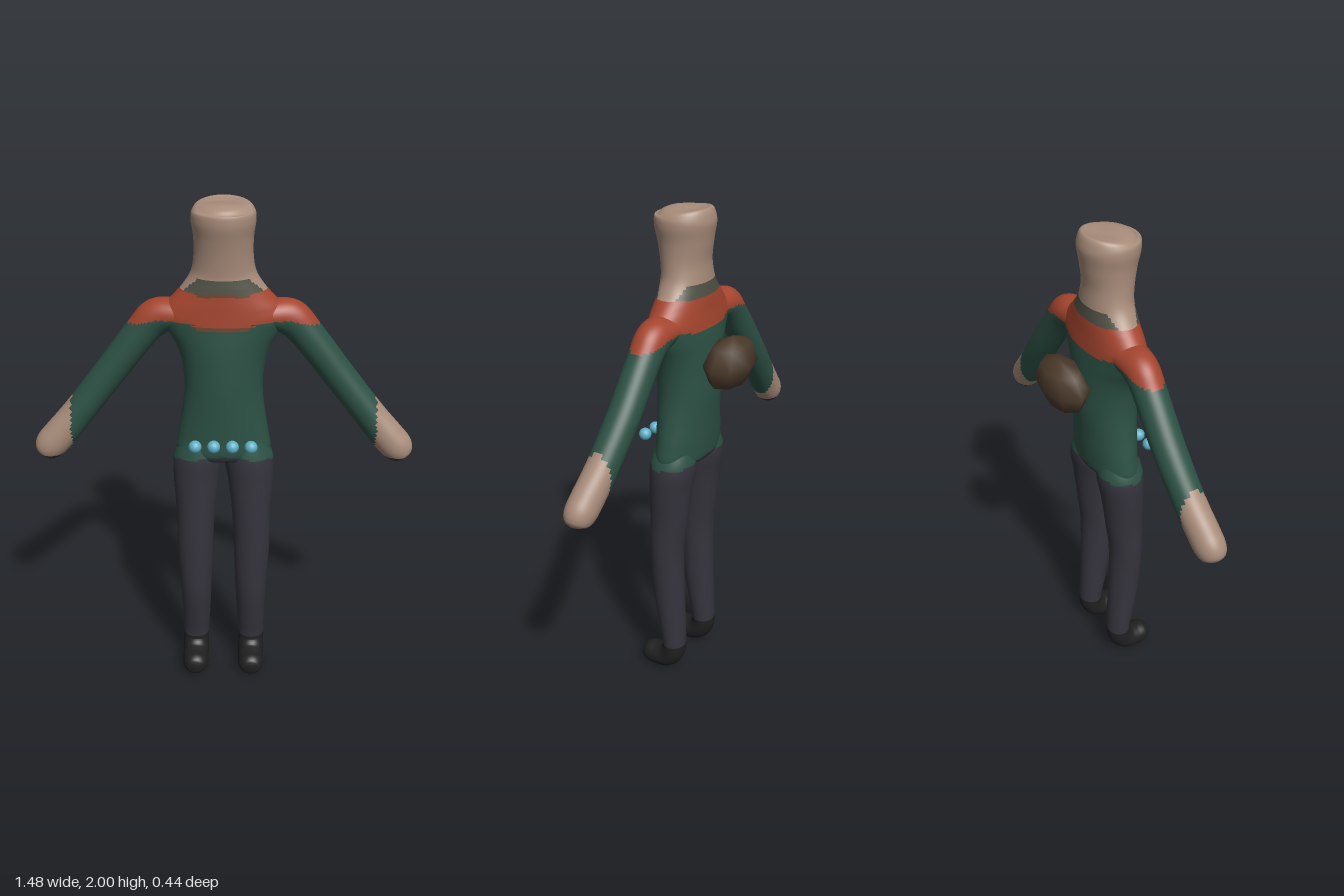
import * as THREE from 'three';

const mat = (name, color) => {
  const m = new THREE.MeshStandardMaterial({ color });
  m.name = name;
  return m;
};
const SKIN = 0, RED = 1, GREEN = 2, TROUSER = 3, SHOE = 4, COLLAR = 5, TRIM = 6;
const bodyMats = [
  mat('skin', 0xa88c7a), mat('rust red', 0xa5452e), mat('dark green', 0x2d5245),
  mat('charcoal trousers', 0x35343d), mat('black shoes', 0x202020),
  mat('grey green collar', 0x505245), mat('brown trim', 0x6a4630),
];
const packMat = mat('dark brown', 0x4b3a2b);
const beadMat = mat('light blue', 0x5fb0c8);

// Which clothing colour covers a point of the body
function paint(x, y, z) {
  const w = Math.abs(x);
  if (y < 0.14) return SHOE;
  if (w > 0.588 && y > 1.015) return SKIN;
  if (y < 1.035 - w * 0.15 || (w > 0.588 && y <= 1.015)) return TROUSER;
  const front = z > 0.08;
  const redBottom = w < 0.11 ? 1.565 : 1.575 - Math.max(0, w - 0.25) * 0.25;
  if (y < redBottom) return front && w < 0.1 && y > 1.55 ? TRIM : GREEN;
  if (y < 1.675) return RED;
  if (y < 1.687) return front && w < 0.1 ? TRIM : RED;
  return y < 1.738 - Math.max(0, w - 0.09) * 0.9 ? COLLAR : SKIN;
}

// Smooth sweep through rows [x, y, z, radius along side, other radius]
function sweep(name, rows, side, steps, sides = 56) {
  const V = (x, y, z) => new THREE.Vector3(x, y, z);
  const path = new THREE.CatmullRomCurve3(rows.map(r => V(r[0], r[1], r[2])), false, 'catmullrom');
  const radii = new THREE.CatmullRomCurve3(rows.map(r => V(r[3], r[4], 0)), false, 'catmullrom');
  const pos = [], n = (rows.length - 1) * steps;
  for (let i = 0; i <= n; i++) {
    const t = i / n, c = path.getPoint(t), r = radii.getPoint(t);
    const other = path.getTangent(t).cross(side).normalize();
    for (let j = 0; j < sides; j++) {
      const a = (j / sides) * Math.PI * 2;
      const p = c.clone()
        .addScaledVector(side, Math.max(0, r.x) * Math.cos(a))
        .addScaledVector(other, Math.max(0, r.y) * Math.sin(a));
      pos.push(p.x, p.y, p.z);
    }
  }
  // Sort the faces into one bucket per colour
  const buckets = bodyMats.map(() => []);
  const face = (...ids) => {
    const mid = k => ids.reduce((s, id) => s + pos[id * 3 + k], 0) / ids.length;
    const [a, b, c, d] = ids;
    buckets[paint(mid(0), mid(1), mid(2))].push(a, b, c, a, c, d);
  };
  for (let i = 0; i < n; i++) {
    for (let j = 0; j < sides; j++) {
      const k = (j + 1) % sides;
      face(i * sides + j, i * sides + k, (i + 1) * sides + k, (i + 1) * sides + j);
    }
  }
  const g = new THREE.BufferGeometry();
  g.setAttribute('position', new THREE.Float32BufferAttribute(pos, 3));
  g.setIndex(buckets.flat());
  let start = 0;
  buckets.forEach((b, m) => {
    if (b.length) g.addGroup(start, b.length, m);
    start += b.length;
  });
  g.computeVertexNormals();
  const mesh = new THREE.Mesh(g, bodyMats);
  mesh.name = name;
  return mesh;
}

// y, half width, back z, front z
const torso = [
  [0.985, 0, 0.06, 0.06], [1.0, 0.14, -0.01, 0.13], [1.03, 0.183, -0.035, 0.154],
  [1.1, 0.177, -0.045, 0.156], [1.2, 0.16, -0.052, 0.16], [1.3, 0.15, -0.06, 0.164],
  [1.4, 0.158, -0.06, 0.164], [1.47, 0.18, -0.057, 0.162], [1.53, 0.215, -0.053, 0.158],
  [1.58, 0.24, -0.048, 0.155], [1.62, 0.222, -0.044, 0.153], [1.66, 0.185, -0.041, 0.151],
  [1.7, 0.15, -0.037, 0.149], [1.75, 0.12, -0.032, 0.146], [1.81, 0.109, -0.03, 0.152],
  [1.88, 0.109, -0.04, 0.165], [1.94, 0.117, -0.05, 0.178], [1.975, 0.112, -0.047, 0.173],
  [1.994, 0.085, -0.02, 0.15], [2.0, 0, 0.065, 0.065],
].map(([y, w, b, f]) => [0, y, (b + f) / 2, w, (f - b) / 2]);

const arm = [
  [0.10, 1.585, 0.05, 0.075, 0.06], [0.18, 1.584, 0.05, 0.07, 0.06],
  [0.25, 1.568, 0.045, 0.065, 0.07], [0.31, 1.508, 0.044, 0.062, 0.064],
  [0.44, 1.34, 0.044, 0.062, 0.061], [0.56, 1.187, 0.054, 0.06, 0.061],
  [0.64, 1.092, 0.065, 0.06, 0.064], [0.678, 1.05, 0.069, 0.058, 0.062],
  [0.7, 1.022, 0.071, 0.047, 0.049], [0.709, 1.01, 0.072, 0.028, 0.03],
  [0.713, 1.004, 0.072, 0, 0],
];

const leg = [
  [0.095, 1.08, 0.06, 0.07, 0.08], [0.1, 1.0, 0.062, 0.097, 0.092],
  [0.108, 0.9, 0.07, 0.09, 0.085], [0.112, 0.75, 0.08, 0.077, 0.077],
  [0.115, 0.6, 0.088, 0.073, 0.068], [0.114, 0.4, 0.083, 0.064, 0.067],
  [0.115, 0.25, 0.068, 0.058, 0.057], [0.117, 0.15, 0.058, 0.054, 0.049],
  [0.118, 0.1, 0.064, 0.054, 0.051], [0.118, 0.064, 0.095, 0.054, 0.053],
  [0.118, 0.053, 0.14, 0.054, 0.05], [0.118, 0.053, 0.178, 0.051, 0.047],
  [0.118, 0.053, 0.2, 0.038, 0.036], [0.118, 0.053, 0.208, 0.022, 0.021],
  [0.118, 0.053, 0.212, 0, 0],
];

export function createModel() {
  const model = new THREE.Group();
  model.name = 'figure';
  const X = new THREE.Vector3(1, 0, 0), Z = new THREE.Vector3(0, 0, 1);

  model.add(sweep('torsoAndHead', torso, X, 10, 72));
  for (const [label, s] of [['left', 1], ['right', -1]]) {
    const mirror = rows => rows.map(([x, ...rest]) => [s * x, ...rest]);
    model.add(sweep(label + 'Arm', mirror(arm), Z, 9));
    model.add(sweep(label + 'Leg', mirror(leg), X, 8));
  }

  // Faceted pack on the back
  const pack = new THREE.Mesh(new THREE.SphereGeometry(1, 8, 4), packMat);
  pack.name = 'backpack';
  pack.scale.set(0.145, 0.105, 0.085);
  pack.position.set(0, 1.44, -0.134);
  pack.rotation.x = -0.1;
  model.add(pack);

  // Row of beads in front of the waist
  const beads = new THREE.Group();
  beads.name = 'beltBeads';
  for (let i = 0; i < 4; i++) {
    const bead = new THREE.Mesh(new THREE.SphereGeometry(0.025, 16, 12), beadMat);
    bead.name = 'bead';
    bead.position.set((i - 1.5) * 0.071, 1.1, 0.193);
    beads.add(bead);
  }
  model.add(beads);
  return model;
}
